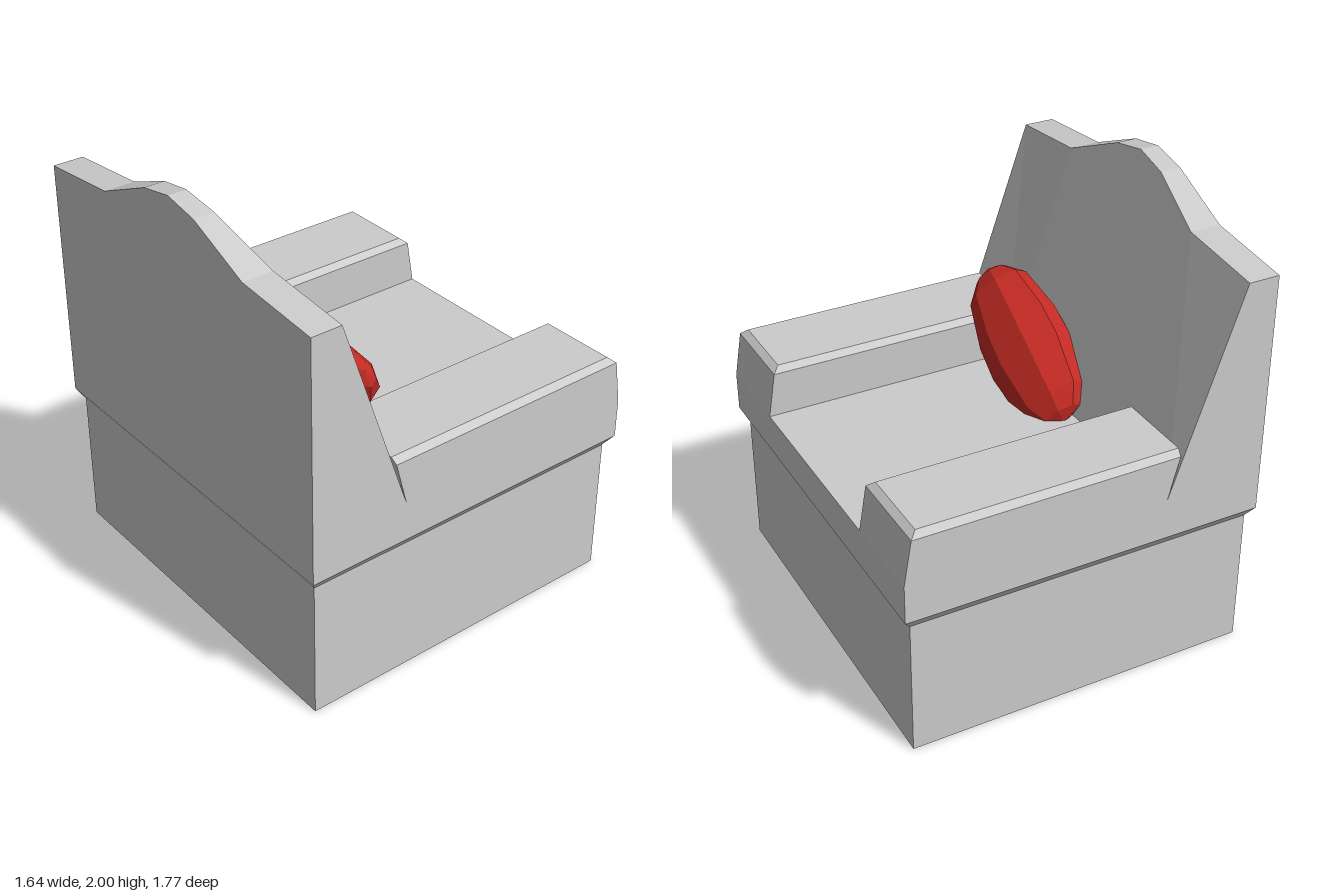
import * as THREE from 'three';

const grey = new THREE.MeshStandardMaterial({ color: 0xcccccc, flatShading: true });
const red = new THREE.MeshStandardMaterial({ color: 0xc42b24, flatShading: true });

// Joins rings of four corners into a closed, faceted solid
function loft(rings) {
  const pos = [];
  const quad = (a, b, c, d) => pos.push(...a, ...b, ...c, ...a, ...c, ...d);
  for (let k = 0; k < rings.length - 1; k++) {
    const r = rings[k], s = rings[k + 1];
    for (let i = 0; i < 4; i++) {
      const j = (i + 1) % 4;
      quad(r[i], r[j], s[j], s[i]);
    }
  }
  quad(...[...rings[0]].reverse());
  quad(...rings[rings.length - 1]);
  const geo = new THREE.BufferGeometry();
  geo.setAttribute('position', new THREE.Float32BufferAttribute(pos, 3));
  geo.computeVertexNormals();
  return geo;
}

// Horizontal rectangle at height y
const rect = (y, x0, x1, z0, z1) => [[x0, y, z1], [x1, y, z1], [x1, y, z0], [x0, y, z0]];

export function createModel() {
  const group = new THREE.Group();
  const add = (name, geo, mat = grey) => {
    const mesh = new THREE.Mesh(geo, mat);
    mesh.name = name;
    group.add(mesh);
  };

  // Plinth flaring out into the seat block
  add('seatBase', loft([
    rect(0, -0.79, 0.785, -0.85, 0.85),
    rect(0.64, -0.79, 0.785, -0.85, 0.85),
    rect(0.69, -0.82, 0.82, -0.885, 0.885),
    rect(0.87, -0.82, 0.82, -0.885, 0.885),
  ]));

  // Two armrests with bevelled tops, sloping at both ends
  for (const side of [-1, 1]) {
    const mid = side * 0.68;
    const ring = (y, x0, x1, half) => rect(y, x0, x1, mid - half, mid + half);
    add(side > 0 ? 'leftArmrest' : 'rightArmrest', loft([
      ring(0.87, -0.36, 0.82, 0.205),
      ring(1.075, -0.415, 0.785, 0.205),
      ring(1.1, -0.42, 0.755, 0.177),
    ]));
  }

  // Wedge backrest with a crested top: [z, top height, top front x]
  const half = [[0.885, 1.795, -0.68], [0.475, 1.835, -0.68], [0.17, 1.968, -0.725]];
  const crest = [
    ...half.map(([z, y, x]) => [-z, y, x]),
    [0, 2, -0.735],
    ...[...half].reverse(),
  ];
  add('backrest', loft(crest.map(([z, y, x]) =>
    [[-0.82, 0.87, z], [-0.36, 0.87, z], [x, y, z], [-0.82, y, z]])));

  // Faceted bolster cushion leaning on the backrest
  const profile = [[0, -0.405], [0.5, -0.37], [0.82, -0.29], [1, -0.06],
    [0.97, 0.1], [0.74, 0.31], [0.4, 0.385], [0, 0.42]]
    .map(([r, t]) => new THREE.Vector2(r, t));
  const cushion = new THREE.LatheGeometry(profile, 8);
  cushion.applyMatrix4(new THREE.Matrix4().makeBasis(
    new THREE.Vector3(0.153, 0, 0),
    new THREE.Vector3(0, 0.53, 0.85),
    new THREE.Vector3(0.065, -0.16, 0.1),
  ).setPosition(-0.303, 1.07, 0.19));
  add('cushion', cushion, red);

  return group;
}
